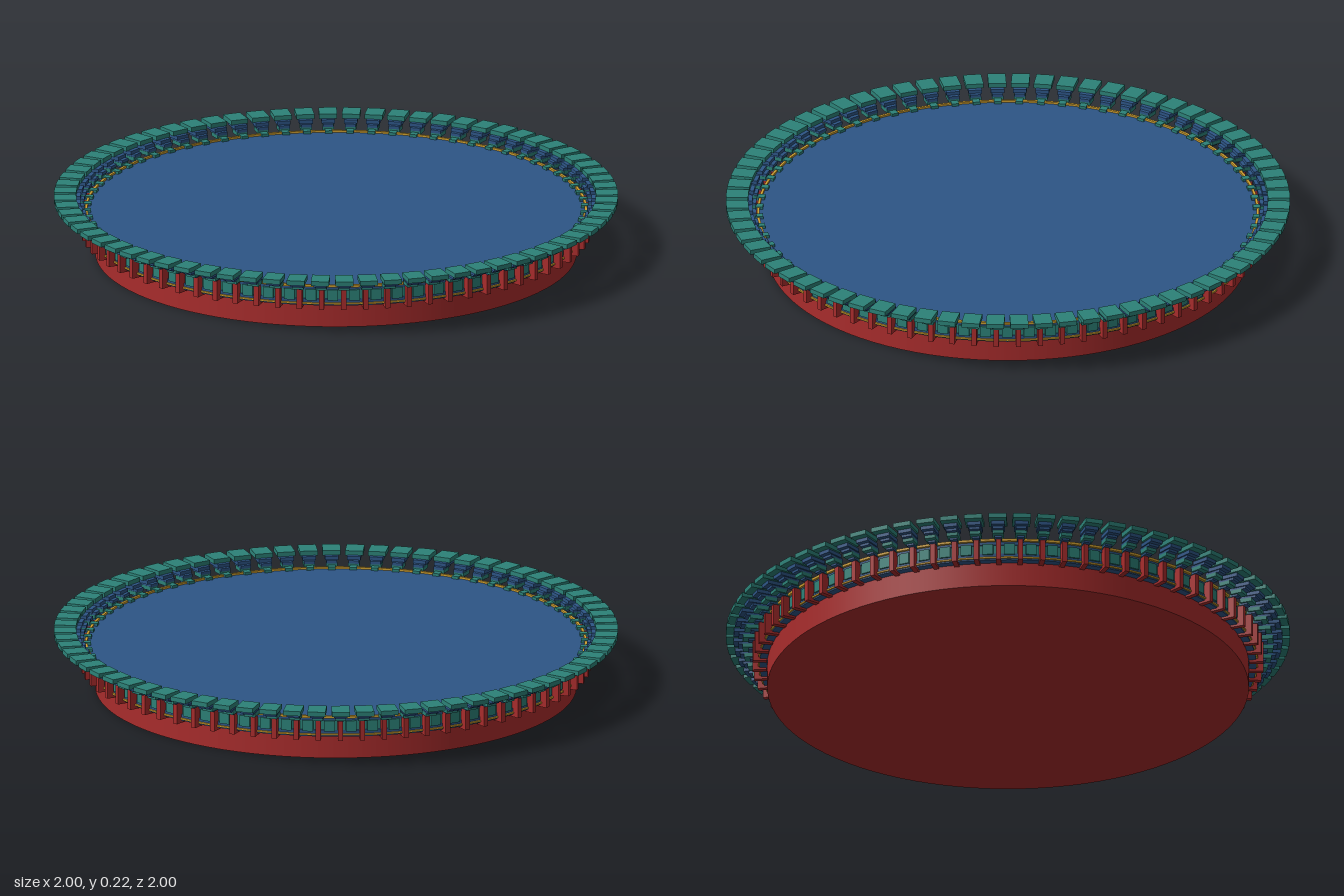
import * as THREE from 'three';
import { mergeGeometries } from 'three/addons/utils/BufferGeometryUtils.js';

const COUNT = 72;

function material(name, color) {
  const m = new THREE.MeshStandardMaterial({ color });
  m.name = name;
  return m;
}

export function createModel() {
  const red = material('red lacquer', 0xa82c2c);
  const blue = material('deep blue', 0x2d5586);
  const teal = material('teal green', 0x2c8278);
  const gold = material('gold trim', 0xd0a030);

  const model = new THREE.Group();
  model.name = 'bracketRing';

  function add(name, geometry, mat) {
    const mesh = new THREE.Mesh(geometry, mat);
    mesh.name = name;
    model.add(mesh);
  }

  // Solid round tier from y0 to y1
  function tier(name, radius, y0, y1, mat) {
    const g = new THREE.CylinderGeometry(radius, radius, y1 - y0, 96);
    g.translate(0, (y0 + y1) / 2, 0);
    add(name, g, mat);
  }

  // Thin hoop with an open middle
  function hoop(name, inner, outer, y0, y1, mat) {
    const points = [[inner, y0], [outer, y0], [outer, y1], [inner, y1], [inner, y0]]
      .map(([x, y]) => new THREE.Vector2(x, y));
    // separate straight bands keep the hoop edges sharp
    const bands = [];
    for (let i = 0; i < 4; i++) bands.push(new THREE.LatheGeometry([points[i], points[i + 1]], 96));
    add(name, mergeGeometries(bands), mat);
  }

  // The same box repeated around the ring, from radius r0 to r1
  function radialBoxes(name, width, r0, r1, y0, y1, mat, offset = 0) {
    const boxes = [];
    for (let i = 0; i < COUNT; i++) {
      const box = new THREE.BoxGeometry(width, y1 - y0, r1 - r0);
      box.translate(0, (y0 + y1) / 2, (r0 + r1) / 2);
      box.rotateY(((i + offset) / COUNT) * Math.PI * 2);
      boxes.push(box);
    }
    add(name, mergeGeometries(boxes), mat);
  }

  // Drum and painted frieze
  tier('drum', 0.853, 0, 0.09, red);
  tier('lowerFrieze', 0.88, 0.088, 0.112, blue);
  tier('middleFrieze', 0.876, 0.112, 0.146, teal);
  tier('ceilingDisc', 0.88, 0.146, 0.16, blue);
  hoop('lowerGoldTrim', 0.87, 0.886, 0.093, 0.099, gold);
  hoop('upperGoldTrim', 0.88, 0.889, 0.158, 0.167, gold);

  // Posts and panels of the frieze
  radialBoxes('post', 0.018, 0.855, 0.905, 0.08, 0.157, red);
  radialBoxes('friezePanel', 0.038, 0.87, 0.886, 0.108, 0.148, teal, 0.5);

  // Stepped brackets leaning outward
  radialBoxes('innerBlock', 0.026, 0.868, 0.895, 0.157, 0.17, teal);
  radialBoxes('lowerArm', 0.026, 0.87, 0.92, 0.157, 0.166, blue);
  radialBoxes('lowerBlock', 0.04, 0.895, 0.94, 0.164, 0.178, teal);
  radialBoxes('upperArm', 0.038, 0.892, 0.955, 0.176, 0.187, blue);
  radialBoxes('upperBearing', 0.048, 0.905, 0.972, 0.185, 0.199, blue);
  radialBoxes('capBlock', 0.064, 0.92, 0.999, 0.198, 0.215, teal);

  return model;
}
